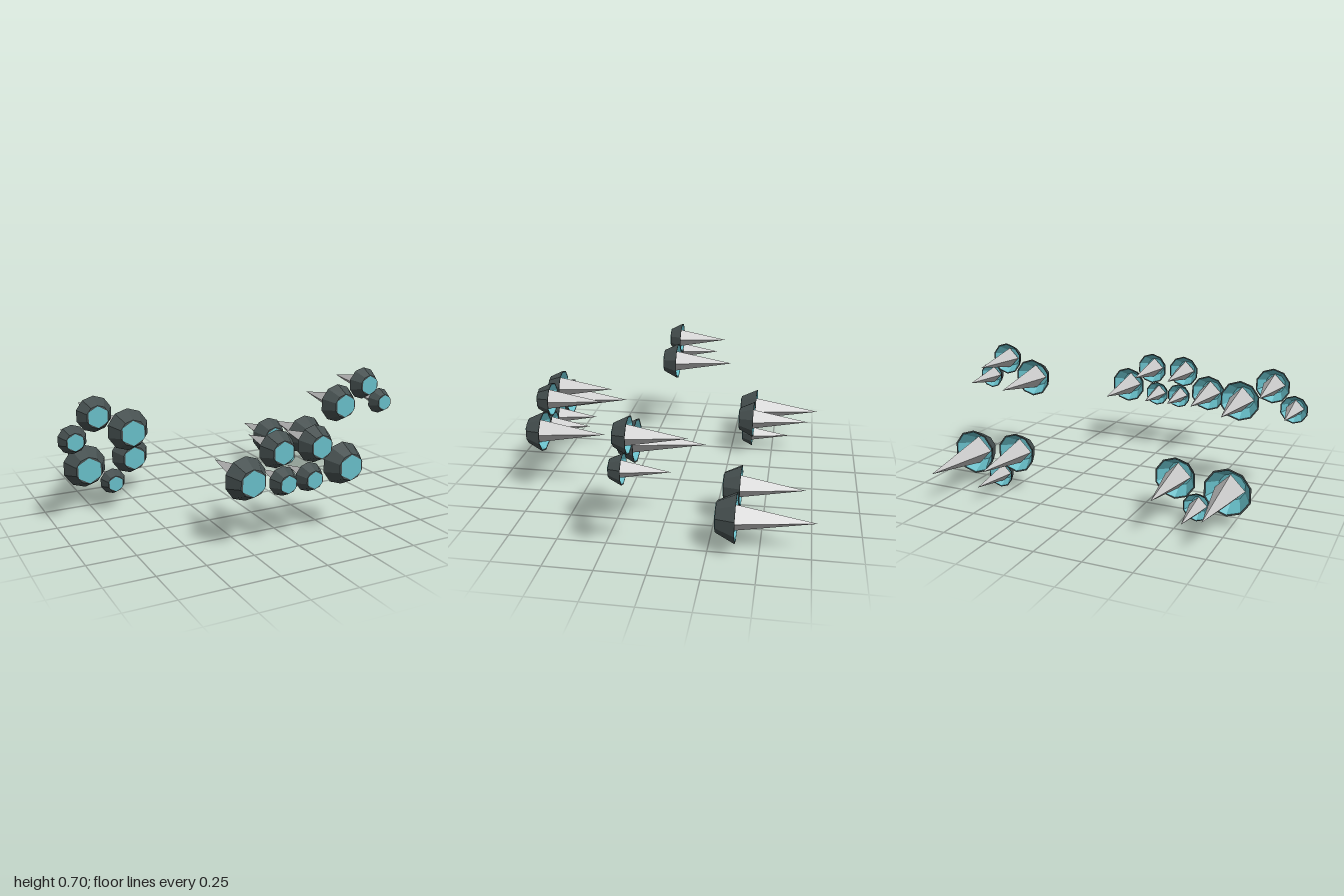
import * as THREE from 'three';

const flat = (name, color, extra = {}) =>
  Object.assign(new THREE.MeshStandardMaterial({ color, flatShading: true, ...extra }), { name });

// x, y, rim radius, front z, rim z, spike tip z (mirrored to the other side)
const NOZZLES = {
  rearNozzle: [
    [0.73, 0.19, 0.125, -0.29, -0.387, -0.77],
    [0.46, 0.222, 0.11, -0.3, -0.387, -0.71],
    [0.572, 0.08, 0.075, -0.315, -0.375, -0.6],
  ],
  outerNozzle: [
    [0.635, 0.515, 0.11, 0.19, 0.107, -0.225],
    [0.808, 0.615, 0.093, 0.175, 0.107, -0.165],
    [0.925, 0.5, 0.075, 0.17, 0.11, -0.107],
  ],
  frontNozzle: [
    [0.27, 0.375, 0.11, 0.775, 0.692, 0.362],
    [0.105, 0.497, 0.095, 0.765, 0.692, 0.41],
    [0.073, 0.335, 0.075, 0.76, 0.7, 0.495],
  ],
};

export function createModel() {
  const dark = flat('dark metal', 0x465050, { side: THREE.DoubleSide });
  const teal = flat('teal glow', 0x66bcc6, { side: THREE.DoubleSide });
  const grey = flat('pale grey', 0xc4c4c4);

  const add = (group, name, geometry, material) => {
    const mesh = new THREE.Mesh(geometry, material);
    mesh.name = name;
    group.add(mesh);
    return mesh;
  };

  // Ten-sided revolved shape with its axis along z
  const turned = (points) =>
    new THREE.LatheGeometry(points.map(([r, z]) => new THREE.Vector2(r, z)), 10).rotateX(Math.PI / 2);

  // One nozzle: its rim lies at local z = 0, its front at z = depth
  const nozzle = (name, R, depth, length) => {
    const g = new THREE.Group();
    g.name = name;
    add(g, 'bowl', turned([[0.93 * R, 0], [R, 0], [0.62 * R, depth], [0, depth]]), dark);
    add(g, 'bowlLining', turned([[0.93 * R, 0], [0.56 * R, 0.85 * depth], [0, 0.85 * depth]]), teal);
    add(g, 'frontLens', new THREE.CircleGeometry(0.59 * R, 6, Math.PI / 2), teal).position.z = depth + 0.003;

    // Four-sided spike starting halfway inside the bowl
    const h = length + depth / 2;
    const spike = new THREE.ConeGeometry((0.55 * R * h) / length, h, 4).rotateX(-Math.PI / 2);
    add(g, 'spike', spike, grey).position.z = depth / 2 - h / 2;
    return g;
  };

  const model = new THREE.Group();
  model.name = 'nozzleArray';
  for (const [name, list] of Object.entries(NOZZLES)) {
    for (const [x, y, R, front, rim, tip] of list) {
      for (const side of [1, -1]) {
        const g = nozzle(name, R, front - rim, rim - tip);
        g.position.set(side * x, y, rim);
        model.add(g);
      }
    }
  }

  // Rest the lowest rim on the ground
  model.position.y = -new THREE.Box3().setFromObject(model, true).min.y;
  return model;
}
